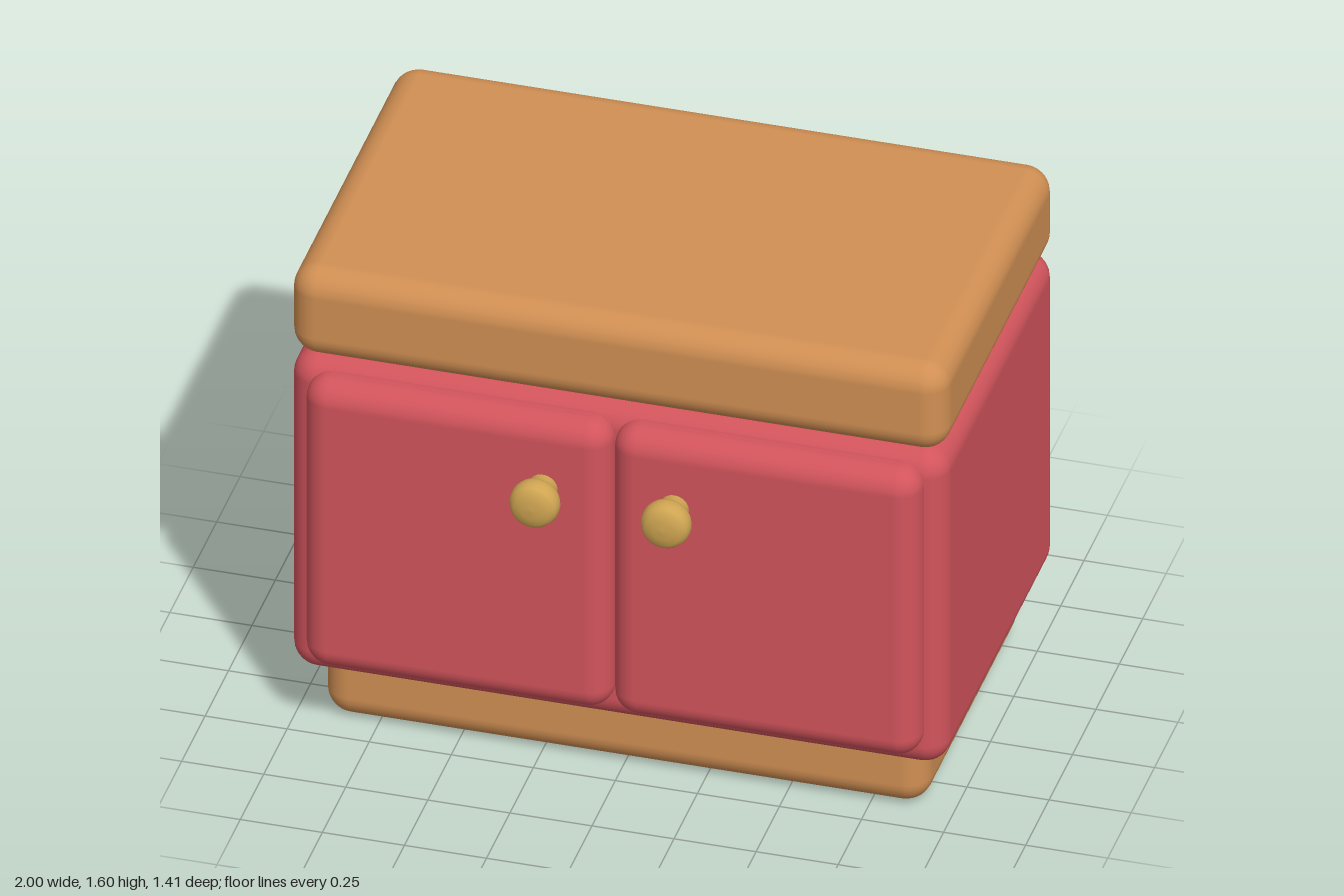
import * as THREE from 'three';
import { RoundedBoxGeometry } from 'three/addons/geometries/RoundedBoxGeometry.js';

const material = (name, color) => {
  const m = new THREE.MeshStandardMaterial({ color });
  m.name = name;
  return m;
};

export function createModel() {
  const wood = material('warm wood', 0xd08f53);
  const red = material('red paint', 0xd2545c);
  const brass = material('brass', 0xcfa552);
  const group = new THREE.Group();
  group.name = 'cabinet';

  // Rounded box spanning the given [min, max] ranges
  const box = (name, mat, x, y, z, radius) => {
    const geo = new RoundedBoxGeometry(x[1] - x[0], y[1] - y[0], z[1] - z[0], 4, radius);
    const mesh = new THREE.Mesh(geo, mat);
    mesh.position.set((x[0] + x[1]) / 2, (y[0] + y[1]) / 2, (z[0] + z[1]) / 2);
    mesh.name = name;
    group.add(mesh);
  };

  // Plinth, carcass and thick top
  box('base', wood, [-0.92, 0.92], [0, 0.3], [-0.625, 0.415], 0.08);
  box('body', red, [-1, 1], [0.2, 1.3], [-0.705, 0.495], 0.08);
  box('top', wood, [-1, 1], [1.3, 1.6], [-0.705, 0.495], 0.08);

  // Knob outline: stem, then a rounded head
  const profile = [[0.045, 0], [0.045, 0.05], [0.058, 0.055], [0.069, 0.068], [0.075, 0.085],
    [0.075, 0.105], [0.069, 0.122], [0.055, 0.134], [0.03, 0.14], [0, 0.142]]
    .map(([r, h]) => new THREE.Vector2(r, h));
  const knobGeometry = new THREE.LatheGeometry(profile, 32).rotateX(Math.PI / 2);

  // Mirrored doors, each with a knob near the middle
  for (const [side, s] of [['left', 1], ['right', -1]]) {
    const x = s > 0 ? [0.002, 0.938] : [-0.938, -0.002];
    box(side + 'Door', red, x, [0.265, 1.27], [0.415, 0.573], 0.075);
    const knob = new THREE.Mesh(knobGeometry, brass);
    knob.name = side + 'Knob';
    knob.position.set(s * 0.2, 1.04, 0.563);
    group.add(knob);
  }
  return group;
}
